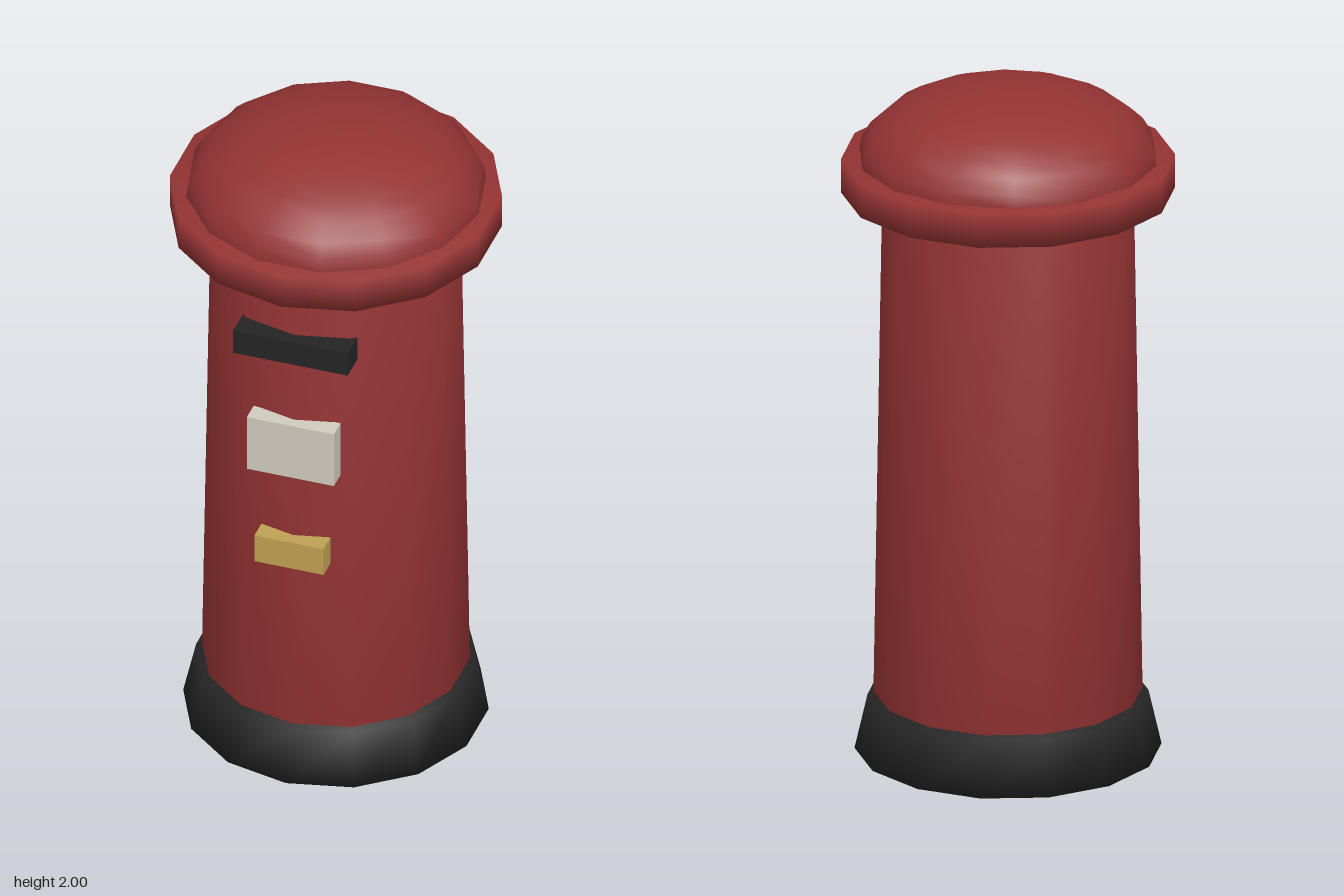
import * as THREE from 'three';
import { mergeVertices } from 'three/addons/utils/BufferGeometryUtils.js';

const SIDES = 14;

const material = (name, color) => {
  const m = new THREE.MeshStandardMaterial({ color });
  m.name = name;
  return m;
};

// Weld corners so the shading runs softly over every edge
function soften(geometry) {
  geometry.deleteAttribute('normal');
  geometry.deleteAttribute('uv');
  const welded = mergeVertices(geometry, 1e-4);
  welded.computeVertexNormals();
  return welded;
}

export function createModel() {
  const red = material('pillar red', 0x943333);
  const black = material('black', 0x242424);
  const cream = material('cream', 0xcfcabe);
  const brass = material('brass', 0xbfa052);
  const model = new THREE.Group();
  model.name = 'postBox';

  function add(name, geometry, mat, x, y, z) {
    const mesh = new THREE.Mesh(geometry, mat);
    mesh.name = name;
    mesh.position.set(x, y, z);
    model.add(mesh);
  }

  // Round parts: a closed, tapered drum between two heights
  function drum(name, mat, rBottom, rTop, y0, y1) {
    const g = soften(new THREE.CylinderGeometry(rTop, rBottom, y1 - y0, SIDES));
    add(name, g, mat, 0, (y0 + y1) / 2, 0);
  }
  drum('base', black, 0.437, 0.4, 0, 0.162);
  drum('body', red, 0.383, 0.358, 0.172, 1.7);
  drum('capRim', red, 0.475, 0.475, 1.687, 1.79);

  // Flattened dome on the rim
  const dome = new THREE.SphereGeometry(0.43, SIDES, 8, 0, Math.PI * 2, 0, Math.PI / 2);
  dome.scale(1, 0.5, 1);
  add('dome', dome, red, 0, 1.785, 0);

  // Blocks set into the front of the body
  function block(name, mat, width, y0, y1, z0, z1) {
    const g = new THREE.BoxGeometry(width, y1 - y0, z1 - z0);
    add(name, g, mat, 0, (y0 + y1) / 2, (z0 + z1) / 2);
  }
  block('letterSlot', black, 0.345, 1.435, 1.512, 0.312, 0.398);
  block('noticePlate', cream, 0.262, 1.04, 1.22, 0.339, 0.398);
  block('lockPlate', brass, 0.208, 0.732, 0.822, 0.35, 0.41);

  return model;
}
